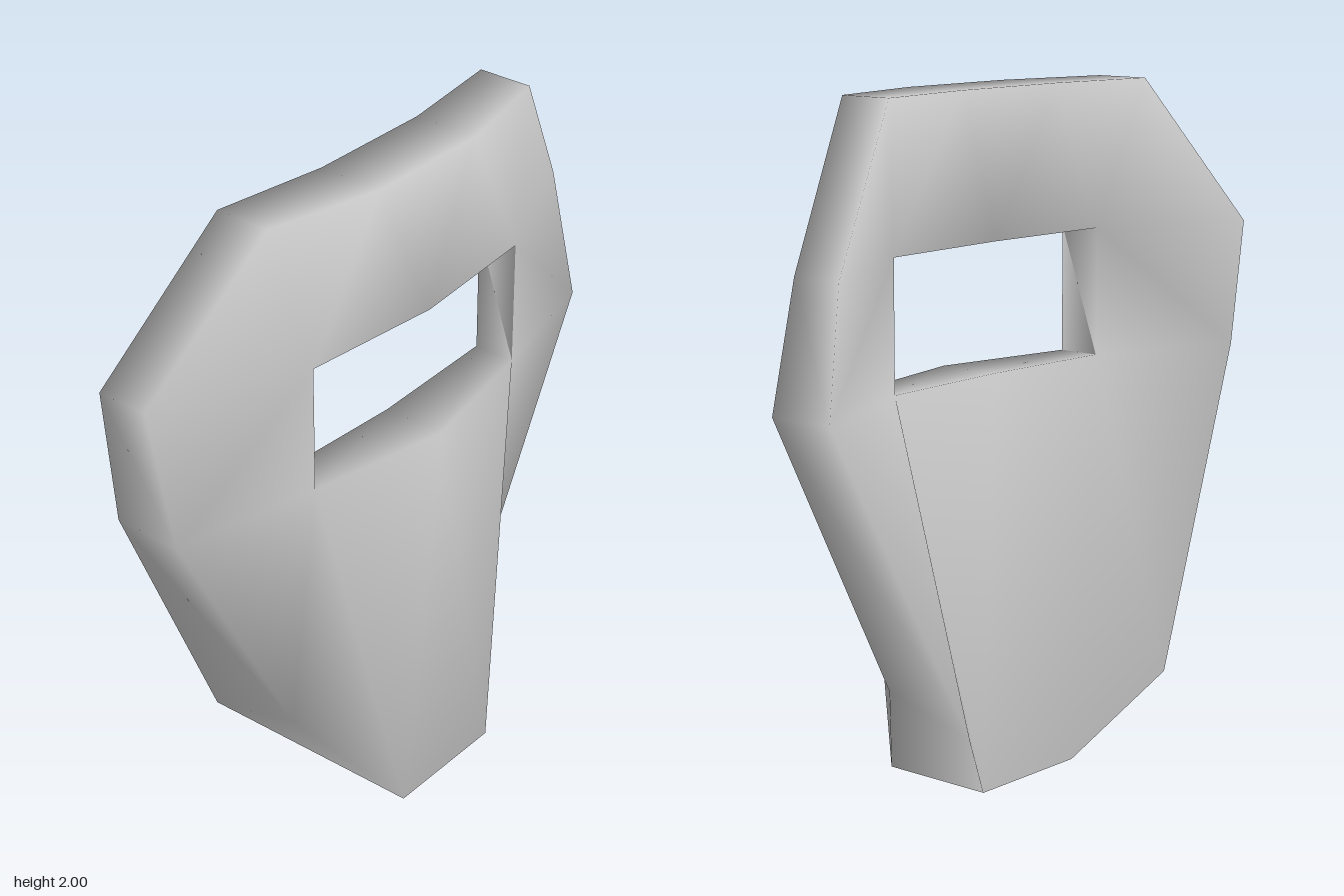
import * as THREE from 'three';

export function createModel() {
  const group = new THREE.Group();
  const grey = new THREE.MeshStandardMaterial({ color: 0xcccccc });
  grey.name = 'light grey';

  // Left half of the plate: front point and back point of each corner
  const corners = {
    top: [[0.2, 2, 0.17], [0.2, 2, -0.03]],
    topCorner: [[0.55, 2, 0.09], [0.55, 2, -0.08]],
    temple: [[0.88, 1.56, -0.05], [0.88, 1.56, -0.21]],
    cheek: [[0.88, 1.18, 0.04], [0.88, 1.18, -0.17]],
    jaw: [[0.44, 0.33, 0.04], [0.44, 0.25, -0.26]],
    chin: [[0.2, 0, 0.26], [0.2, 0, -0.1]],
    slotTop: [[0, 1.56, 0.18], [0, 1.56, 0.03]],
    slotUpper: [[0.44, 1.56, 0.14], [0.44, 1.56, 0.01]],
    slotLower: [[0.44, 1.18, 0.14], [0.44, 1.18, 0.01]],
    slotBottom: [[0, 1.18, 0.225], [0, 1.18, 0.03]],
  };

  // Shared vertices; a name starting with '-' is the mirrored corner
  const positions = [];
  const ids = {};
  const addCorner = (name, pair, sign) => {
    ids[name] = positions.length / 3;
    for (const [x, y, z] of pair) positions.push(sign * x, y, z);
  };
  for (const [name, pair] of Object.entries(corners)) {
    addCorner(name, pair, 1);
    if (pair[0][0] > 0) addCorner('-' + name, pair, -1);
    else ids['-' + name] = ids[name];
  }

  // Front and back sheets
  const index = [];
  const sheet = (a, b, c) => {
    index.push(ids[a], ids[b], ids[c]);
    index.push(ids[a] + 1, ids[c] + 1, ids[b] + 1);
  };
  const half = [
    ['slotTop', 'slotUpper', 'top'],
    ['top', 'slotUpper', 'topCorner'],
    ['slotUpper', 'temple', 'topCorner'],
    ['slotUpper', 'slotLower', 'cheek'],
    ['slotUpper', 'cheek', 'temple'],
    ['slotLower', 'jaw', 'cheek'],
    ['slotLower', 'chin', 'jaw'],
    ['slotBottom', 'chin', 'slotLower'],
  ];
  for (const [a, b, c] of half) {
    sheet(a, b, c);
    sheet('-' + a, '-' + c, '-' + b);
  }
  sheet('top', '-top', 'slotTop');
  sheet('slotBottom', '-chin', 'chin');

  // Walls around the rim and inside the slot
  const wall = (loop) => loop.forEach((name, i) => {
    const p = ids[name], q = ids[loop[(i + 1) % loop.length]];
    index.push(p, q, q + 1, p, q + 1, p + 1);
  });
  const rim = ['top', 'topCorner', 'temple', 'cheek', 'jaw', 'chin'];
  wall([...rim, ...rim.map((n) => '-' + n).reverse()]);
  wall(['slotUpper', 'slotTop', '-slotUpper', '-slotLower', 'slotBottom', 'slotLower']);

  const geometry = new THREE.BufferGeometry();
  geometry.setAttribute('position', new THREE.Float32BufferAttribute(positions, 3));
  geometry.setIndex(index);
  geometry.computeVertexNormals();

  const plate = new THREE.Mesh(geometry, grey);
  plate.name = 'curvedFacePlate';
  group.add(plate);
  return group;
}
